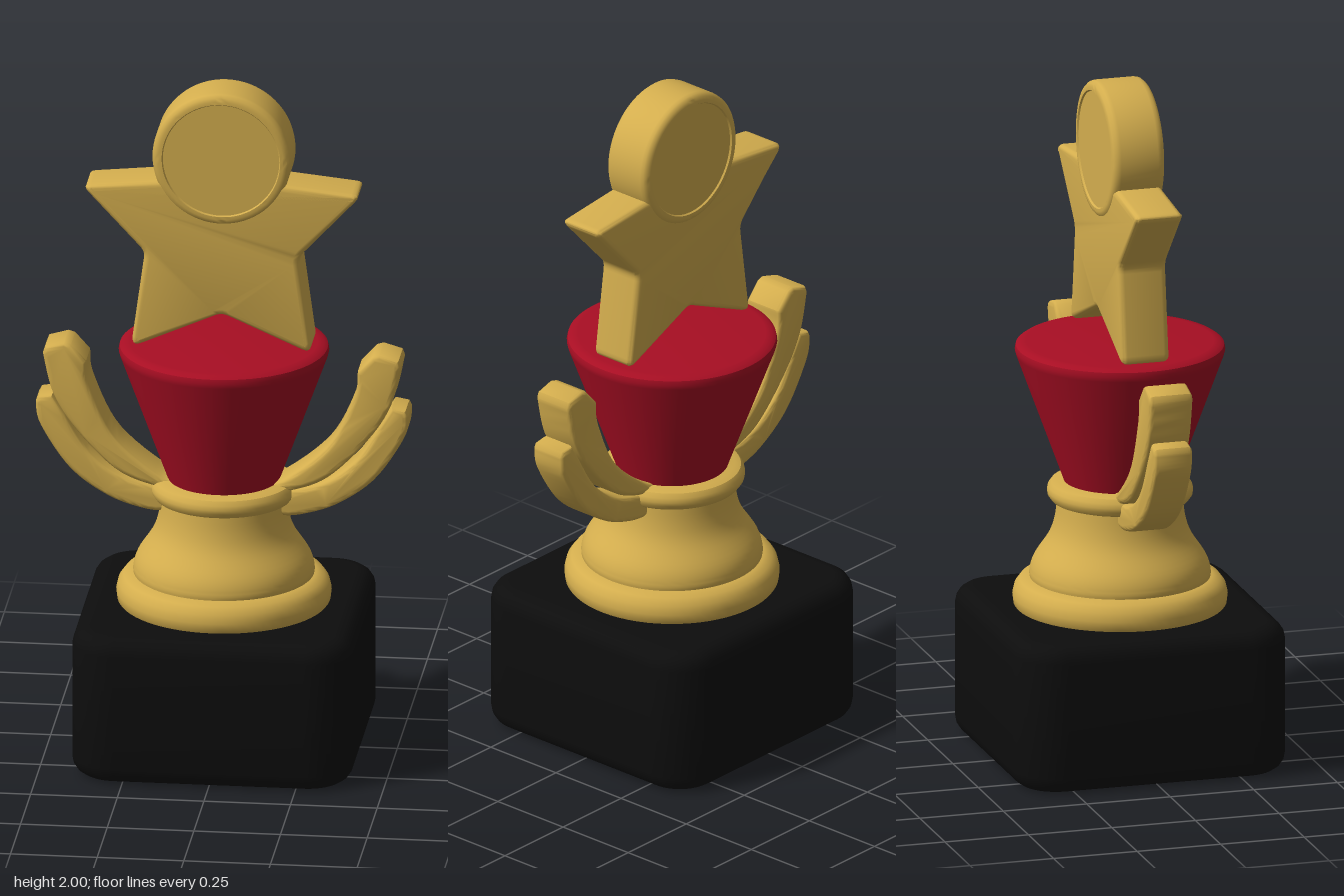
import * as THREE from 'three';
import { toCreasedNormals } from 'three/addons/utils/BufferGeometryUtils.js';

const V = (p) => new THREE.Vector2(p[0], p[1]);

// Flat shape with rounded edges, centred on z = 0
function slab(shape, depth, bevel, curveSegments = 12) {
  const g = new THREE.ExtrudeGeometry(shape, {
    depth: depth - 2 * bevel, bevelEnabled: true, bevelThickness: bevel,
    bevelSize: bevel, bevelOffset: -bevel, bevelSegments: 4, curveSegments,
  });
  g.translate(0, 0, -(depth - 2 * bevel) / 2);
  return toCreasedNormals(g, 0.7);
}

// Polygon whose corners [x, y, radius] are rounded
function roundedPolygon(corners) {
  const s = new THREE.Shape();
  const n = corners.length;
  corners.forEach((c, i) => {
    const p = V(c), r = c[2];
    const toward = (q) => V(q).sub(p).setLength(r).add(p);
    const a = toward(corners[(i + n - 1) % n]), b = toward(corners[(i + 1) % n]);
    if (i === 0) s.moveTo(a.x, a.y); else s.lineTo(a.x, a.y);
    s.quadraticCurveTo(p.x, p.y, b.x, b.y);
  });
  s.closePath();
  return s;
}

function lathe(points, segments = 64) {
  return toCreasedNormals(new THREE.LatheGeometry(points.map(V), segments), 0.6);
}

export function createModel() {
  const group = new THREE.Group();
  const gold = new THREE.MeshStandardMaterial({ color: 0xd4ae4e });
  const red = new THREE.MeshStandardMaterial({ color: 0xa80e23 });
  const black = new THREE.MeshStandardMaterial({ color: 0x0d0d0d });
  gold.name = 'gold';
  red.name = 'red';
  black.name = 'black';

  const add = (name, geometry, material) => {
    const m = new THREE.Mesh(geometry, material);
    m.name = name;
    group.add(m);
    return m;
  };

  // Plinth: square block with rounded corners
  const h = 0.405, r = 0.13, k = h - r;
  const square = new THREE.Shape();
  square.absarc(k, k, r, 0, Math.PI / 2);
  square.absarc(-k, k, r, Math.PI / 2, Math.PI);
  square.absarc(-k, -k, r, Math.PI, Math.PI * 1.5);
  square.absarc(k, -k, r, Math.PI * 1.5, Math.PI * 2);
  const block = slab(square, 0.44, 0.05);
  block.rotateX(-Math.PI / 2).translate(0, 0.22, 0);
  add('plinth', block, black);

  // Foot: rounded bottom ring and a flared bell above it
  add('footRing', lathe([
    [0, 0.43], [0.295, 0.43], [0.306, 0.445], [0.309, 0.47], [0.303, 0.495],
    [0.288, 0.515], [0.265, 0.524], [0, 0.524],
  ]), gold);
  const bell = new THREE.SplineCurve([
    [0.258, 0.515], [0.26, 0.54], [0.247, 0.58], [0.205, 0.645], [0.187, 0.7], [0.179, 0.77],
  ].map(V)).getPoints(24);
  add('footBell', lathe(bell.map((p) => [p.x, p.y])), gold);

  // Collar between foot and cup
  add('collar', lathe([
    [0, 0.748], [0.18, 0.748], [0.198, 0.754], [0.208, 0.768], [0.21, 0.78],
    [0.207, 0.793], [0.198, 0.805], [0.18, 0.811], [0, 0.811],
  ]), gold);

  // Cup: solid cone with a softened rim
  add('cup', lathe([
    [0.155, 0.79], [0.163, 0.815], [0.298, 1.185], [0.302, 1.2], [0.299, 1.213],
    [0.288, 1.221], [0.27, 1.223], [0, 1.223],
  ]), red);

  // Leaves: outer edge runs up to the tip, inner edge runs back down
  const leaves = {
    upperLeaf: {
      outer: [[0.12, 0.79], [0.2, 0.795], [0.307, 0.84], [0.42, 0.955], [0.487, 1.063], [0.517, 1.185]],
      tip: [[0.51, 1.203], [0.455, 1.219], [0.435, 1.213]],
      inner: [[0.392, 1.165], [0.382, 1.09], [0.31, 0.94], [0.18, 0.828], [0.12, 0.815]],
      depth: 0.13,
    },
    lowerLeaf: {
      outer: [[0.12, 0.735], [0.17, 0.716], [0.235, 0.722], [0.333, 0.757], [0.44, 0.836], [0.525, 0.965], [0.538, 1.035]],
      tip: [[0.53, 1.05], [0.49, 1.057]],
      inner: [[0.455, 1.0], [0.385, 0.89], [0.28, 0.815], [0.12, 0.78]],
      depth: 0.115,
    },
  };
  for (const [name, leaf] of Object.entries(leaves)) {
    for (const side of [1, -1]) {
      const flip = (p) => new THREE.Vector2(p[0] * side, p[1]);
      const s = new THREE.Shape();
      s.moveTo(leaf.outer[0][0] * side, leaf.outer[0][1]);
      s.splineThru(leaf.outer.slice(1).map(flip));
      for (const p of [...leaf.tip, leaf.inner[0]]) s.lineTo(p[0] * side, p[1]);
      s.splineThru(leaf.inner.slice(1).map(flip));
      s.closePath();
      add((side > 0 ? 'left_' : 'right_') + name, slab(s, leaf.depth, 0.015, 5), gold);
    }
  }

  // Star: one half of the outline, mirrored; its top point hides in the medal
  const half = [
    [0.11, 1.735, 0.02], [0.405, 1.705, 0.03], [0.222, 1.508, 0.02], [0.262, 1.215, 0.035], 
  ];
  const mirrored = half.map(([x, y, q]) => [-x, y, q]).reverse();
  add('star', slab(roundedPolygon([...half, [0, 1.33, 0.02], ...mirrored]), 0.144, 0.018, 5), gold);

  // Medal: disc with a raised rim on both faces
  const face = [
    [0.2, 0.055], [0.198, 0.066], [0.19, 0.075], [0.18, 0.078], [0.171, 0.078], [0.168, 0.073], [0, 0.073],
  ];
  const back = face.map(([x, y]) => [x, -y]).reverse();
  const medal = add('medal', lathe([...back, ...face], 72), gold);
  medal.rotation.x = Math.PI / 2;
  medal.position.y = 1.8;

  return group;
}
